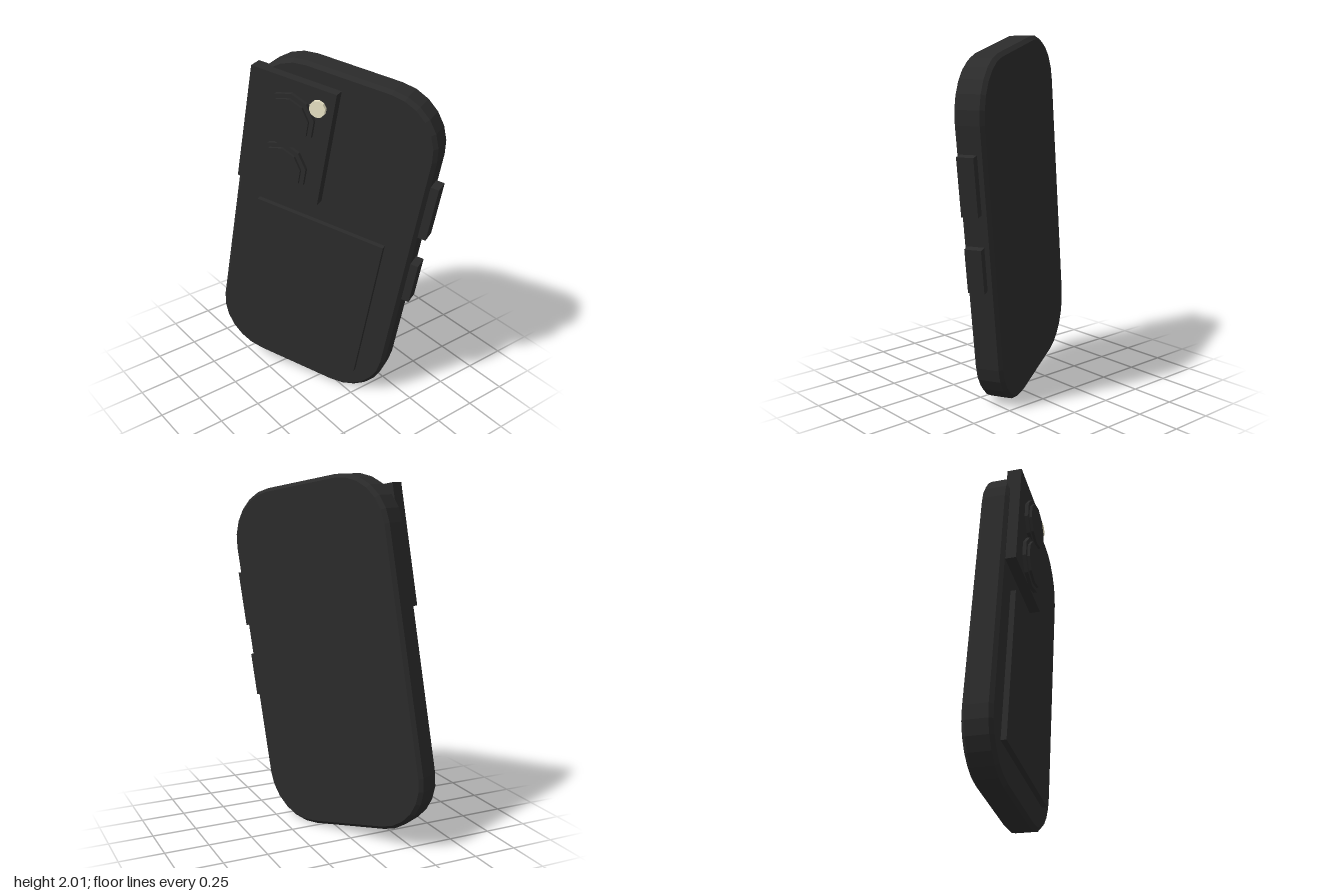
import * as THREE from 'three';

export function createModel() {
  const casing = new THREE.MeshStandardMaterial({ color: 0x2b2b2b });
  casing.name = 'charcoal casing';
  const light = new THREE.MeshStandardMaterial({ color: 0xe8e2c4 });
  light.name = 'cream flash';

  // The slab leans sideways and is turned about the vertical axis
  const phone = new THREE.Group();
  phone.name = 'phone';
  phone.position.y = 1;
  phone.rotation.set(0, THREE.MathUtils.degToRad(28), THREE.MathUtils.degToRad(-10));

  const add = (name, geometry, material, x, y, z) => {
    const mesh = new THREE.Mesh(geometry, material);
    mesh.name = name;
    mesh.position.set(x, y, z);
    phone.add(mesh);
  };
  const box = (name, x0, x1, y0, y1, z0, z1) =>
    add(name, new THREE.BoxGeometry(x1 - x0, y1 - y0, z1 - z0), casing,
      (x0 + x1) / 2, (y0 + y1) / 2, (z0 + z1) / 2);
  // Faceted disc facing the front
  const disc = (name, material, x, y, r, z0, z1) => {
    const geometry = new THREE.CylinderGeometry(r, r, z1 - z0, 10)
      .rotateX(Math.PI / 2).toNonIndexed();
    geometry.computeVertexNormals();
    add(name, geometry, material, x, y, (z0 + z1) / 2);
  };

  // Body: rounded slab with chamfered rims
  const bevel = 0.02, w = 0.518, h = 0.955, r = 0.28;
  const outline = new THREE.Shape();
  outline.absarc(w - r, h - r, r, 0, Math.PI / 2);
  outline.absarc(r - w, h - r, r, Math.PI / 2, Math.PI);
  outline.absarc(r - w, r - h, r, Math.PI, Math.PI * 1.5);
  outline.absarc(w - r, r - h, r, Math.PI * 1.5, Math.PI * 2);
  outline.closePath();
  const body = new THREE.ExtrudeGeometry(outline, {
    depth: 0.121, curveSegments: 3, bevelEnabled: true,
    bevelSize: bevel, bevelThickness: bevel, bevelSegments: 1,
  });
  add('body', body, casing, -0.008, 0, -0.067);

  // Raised plate and camera block
  box('cardPlate', -0.396, 0.374, -0.8, 0.104, 0.05, 0.104);
  box('cameraBlock', -0.52, -0.03, 0.226, 0.885, 0.05, 0.134);

  // Stepped lenses
  for (const y of [0.662, 0.375]) {
    disc('lensRing', casing, -0.268, y, 0.155, 0.12, 0.155);
    disc('lens', casing, -0.268, y, 0.13, 0.14, 0.17);
  }
  disc('flash', light, -0.115, 0.782, 0.046, 0.12, 0.153);

  // Side buttons
  box('upperButton', 0.5, 0.576, 0.216, 0.53, -0.04, 0.052);
  box('lowerButton', 0.5, 0.574, -0.204, 0.04, -0.04, 0.052);

  const model = new THREE.Group();
  model.name = 'model';
  model.add(phone);
  return model;
}
